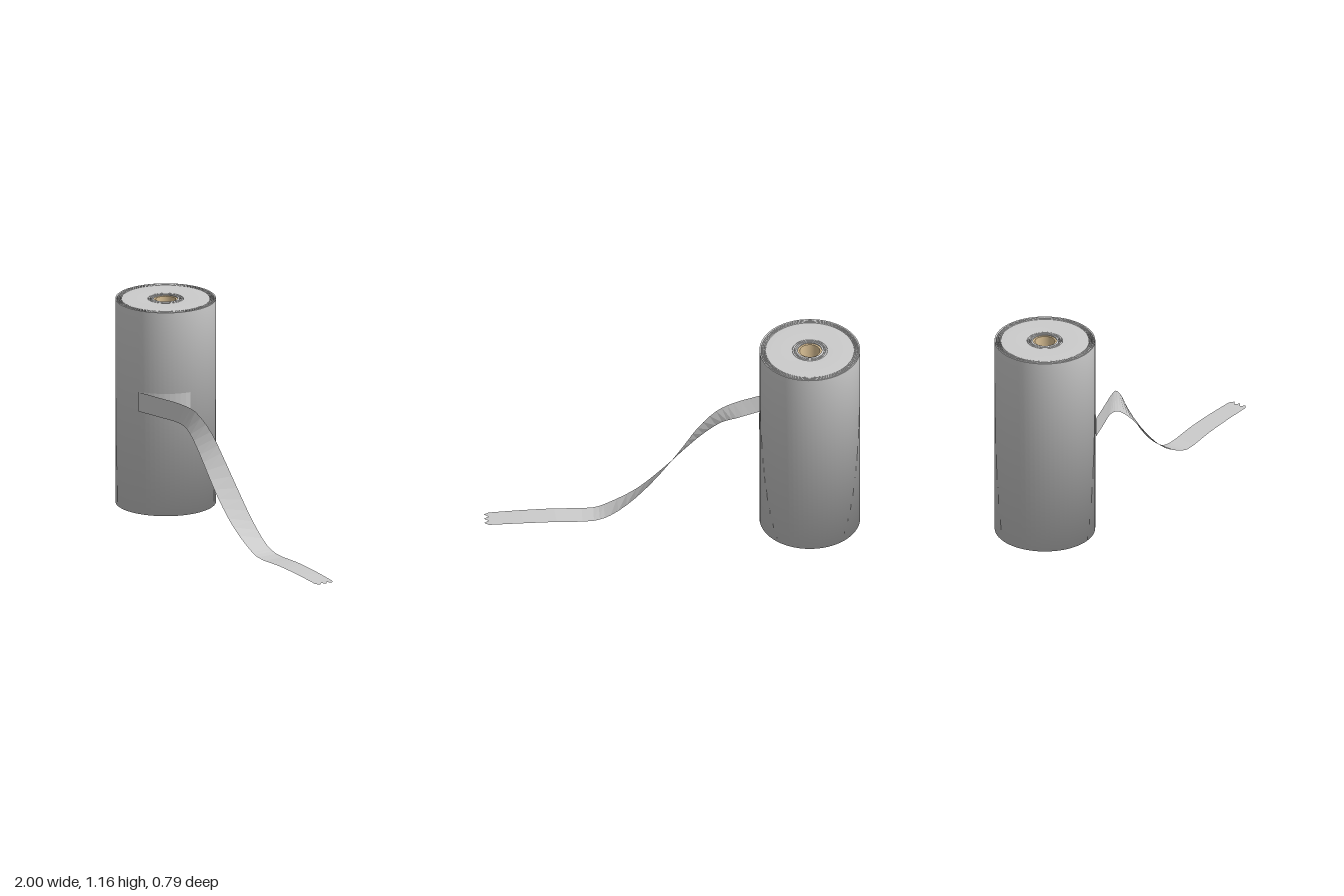
import * as THREE from 'three';

const R = 0.275, H = 1.163, HOLE = 0.066, CX = -0.725, CZ = -0.125;
const grey = new THREE.MeshStandardMaterial({ color: 0xcccccc });
const film = new THREE.MeshStandardMaterial({ color: 0xcccccc, flatShading: true, side: THREE.DoubleSide });
const card = new THREE.MeshStandardMaterial({ color: 0xd9bf94 });

function addMesh(group, name, geometry, material) {
  const mesh = new THREE.Mesh(geometry, material);
  mesh.name = name;
  group.add(mesh);
  return mesh;
}

const lathe = (points) => new THREE.LatheGeometry(points.map(([r, y]) => new THREE.Vector2(r, y)), 64);

// Winding lines: shallow steps across the top face, listed from the rim inwards
function topProfile() {
  const points = [[R, H]];
  for (const r of [0.267, 0.259, 0.251, 0.243, 0.096, 0.086, 0.077]) {
    points.push([r + 0.002, H], [r + 0.001, H - 0.005], [r - 0.001, H - 0.005], [r - 0.002, H]);
  }
  points.push([HOLE, H]);
  return points;
}

// Surface between two edge curves given as rows of points
function ribbon(edgeA, edgeB) {
  const position = [], index = [];
  edgeA.forEach((a, i) => {
    const b = edgeB[i];
    position.push(a.x, a.y, a.z, b.x, b.y, b.z);
    const k = 2 * i;
    if (i) index.push(k - 2, k - 1, k, k, k - 1, k + 1);
  });
  const geometry = new THREE.BufferGeometry();
  geometry.setAttribute('position', new THREE.Float32BufferAttribute(position, 3));
  geometry.setIndex(index);
  geometry.computeVertexNormals();
  return geometry;
}

export function createModel() {
  const model = new THREE.Group();
  model.name = 'tapeRoll';

  const roll = new THREE.Group();
  roll.name = 'roll';
  roll.position.set(CX, 0, CZ);
  model.add(roll);

  // Wound body: underside and side wall share a soft bottom edge
  const body = lathe([[HOLE, 0.02], [HOLE, 0.002], [R, 0.002], [R, H]]);
  const p = body.attributes.position, n = body.attributes.normal;
  for (let i = 0; i < p.count; i++) {
    const x = p.getX(i), z = p.getZ(i);
    if (p.getY(i) < 0.01 && Math.hypot(x, z) > 0.2) n.setXYZ(i, 0.7 * x / R, -0.71, 0.7 * z / R);
  }
  addMesh(roll, 'rollBody', body, grey);
  addMesh(roll, 'rollTop', lathe(topProfile()), grey);

  // Hollow core tube
  const r0 = 0.055, y0 = 0.004, y1 = H - 0.006;
  addMesh(roll, 'coreInside', lathe([[r0, y1], [r0, y0]]), card);
  addMesh(roll, 'coreTopRim', lathe([[HOLE, y1], [r0, y1]]), card);
  addMesh(roll, 'coreBottomRim', lathe([[r0, y0], [HOLE, y0]]), card);
  addMesh(roll, 'holeLip', lathe([[HOLE, H], [HOLE, y1]]), grey);

  // Tape still lying on the roll, behind the loose strip
  const strip = new THREE.CylinderGeometry(R + 0.003, R + 0.003, 0.112, 10, 1, true, 0.24, 1.06);
  addMesh(roll, 'wrappedTape', strip, film).position.y = 0.645;

  // Loose tape: upper edge turns into the back edge, lower edge into the front edge
  const upper = [
    [-0.66, 0.70, 0.15], [-0.5, 0.696, 0.135], [-0.36, 0.69, 0.12], [-0.26, 0.665, 0.107],
    [-0.15, 0.575, 0.099], [-0.07, 0.47, 0.097], [0.06, 0.30, 0.104], [0.2, 0.144, 0.122],
    [0.33, 0.042, 0.143], [0.42, 0.014, 0.157], [0.62, 0.018, 0.197], [0.8, 0.016, 0.238], [0.98, 0.009, 0.283],
  ];
  const lower = [
    [-0.66, 0.59, 0.15], [-0.5, 0.586, 0.135], [-0.38, 0.58, 0.122], [-0.30, 0.562, 0.133],
    [-0.2, 0.485, 0.157], [-0.1, 0.38, 0.182], [0.02, 0.25, 0.208], [0.16, 0.125, 0.232],
    [0.31, 0.041, 0.26], [0.39, 0.013, 0.275], [0.6, 0.018, 0.317], [0.78, 0.016, 0.354], [0.952, 0.009, 0.39],
  ];
  const sample = (points) => {
    const curve = new THREE.CatmullRomCurve3(points.map((q) => new THREE.Vector3(...q)));
    return curve.getPoints(36);
  };
  const edgeA = sample(upper), edgeB = sample(lower);
  addMesh(model, 'looseTape', ribbon(edgeA, edgeB), film);

  // Zigzag torn end: three teeth
  const a = edgeA.at(-1), b = edgeB.at(-1), teeth = [];
  for (let i = 0; i < 3; i++) {
    const tip = a.clone().lerp(b, (i + 0.5) / 3).add(new THREE.Vector3(0.025, 0, 0.007));
    teeth.push(a.clone().lerp(b, i / 3), a.clone().lerp(b, (i + 1) / 3), tip);
  }
  const end = new THREE.BufferGeometry().setFromPoints(teeth);
  end.computeVertexNormals();
  addMesh(model, 'tornEnd', end, film);

  return model;
}
